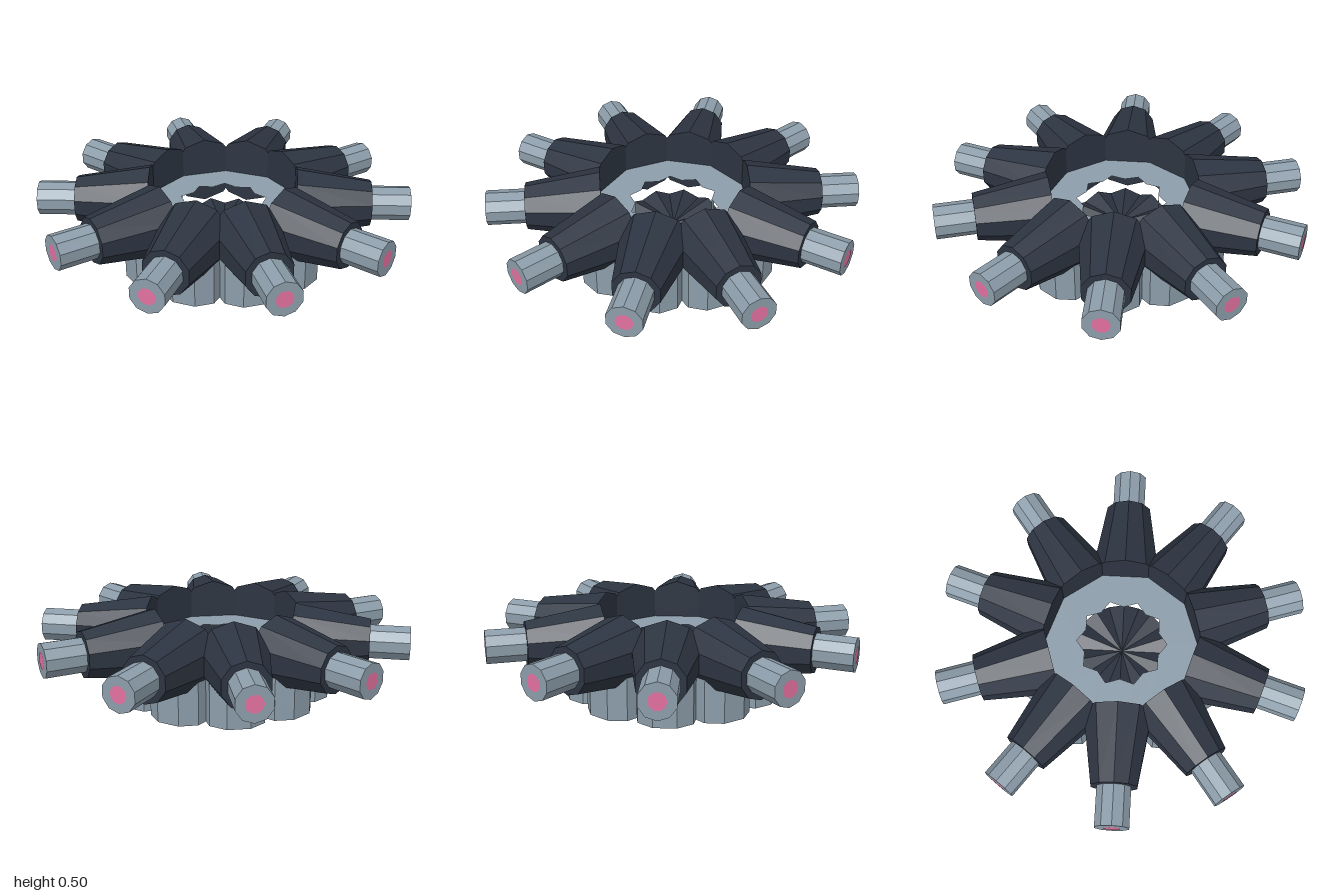
import * as THREE from 'three';

export function createModel() {
  const model = new THREE.Group();
  const mat = (name, color) => new THREE.MeshStandardMaterial({ name, color, flatShading: true });
  const steel = mat('light steel', 0x8c9daa);
  const navy = mat('dark slate', 0x2d3542);
  const pink = mat('pink', 0xe2709f);
  const COUNT = 10, STEP = Math.PI * 2 / COUNT, AXIS = 0.31;

  const add = (parent, name, geometry, material) => {
    const mesh = new THREE.Mesh(geometry, material);
    mesh.name = name;
    parent.add(mesh);
    return mesh;
  };

  // Repeats a [tangent, radius] profile around the centre
  const ring = (profile) => {
    const points = [];
    for (let i = 0; i < COUNT; i++) {
      const a = i * STEP, c = Math.cos(a), s = Math.sin(a);
      for (const [t, r] of profile) points.push(new THREE.Vector2(r * s + t * c, r * c - t * s));
    }
    return points;
  };

  // Lobed base plate with a star-shaped hole
  const plate = new THREE.Shape(ring([[-0.14, 0.52], [-0.06, 0.58], [0.06, 0.58], [0.14, 0.52], [0.15, 0.46]]));
  const peak = 0.245;
  plate.holes.push(new THREE.Path(ring([
    [0, 0.208], [peak * Math.sin(STEP / 2), peak * Math.cos(STEP / 2)],
  ])));
  const plateGeo = new THREE.ExtrudeGeometry(plate, { depth: 0.29, bevelEnabled: false });
  plateGeo.rotateX(-Math.PI / 2);
  add(model, 'basePlate', plateGeo, steel);

  // Radial parts, shaped pointing along +z
  const radial = (rOut, rIn, from, to, sides) =>
    new THREE.CylinderGeometry(rOut, rIn, to - from, sides)
      .rotateX(Math.PI / 2).translate(0, 0, (from + to) / 2);
  const sleeveGeo = radial(0.125, 0.19, 0.392, 0.79, 10);
  const barrelGeo = radial(0.0925, 0.0925, 0.7, 0.998, 10);
  const spokeGeo = radial(0.085, 0, 0, 0.26, 4).scale(1, 0.5, 1);
  const tipGeo = new THREE.CircleGeometry(0.045, 10).translate(0, 0, 1);

  for (let i = 0; i < COUNT; i++) {
    const arm = new THREE.Group();
    arm.name = 'arm' + (i + 1);
    arm.rotation.y = i * STEP;
    model.add(arm);
    add(arm, 'sleeve', sleeveGeo, navy).position.y = AXIS;
    add(arm, 'barrel', barrelGeo, steel).position.y = AXIS;
    add(arm, 'barrelTip', tipGeo, pink).position.y = AXIS;
    // Ridged web closing the central hole
    add(arm, 'hubSpoke', spokeGeo, navy).position.y = 0.15;
  }
  return model;
}
